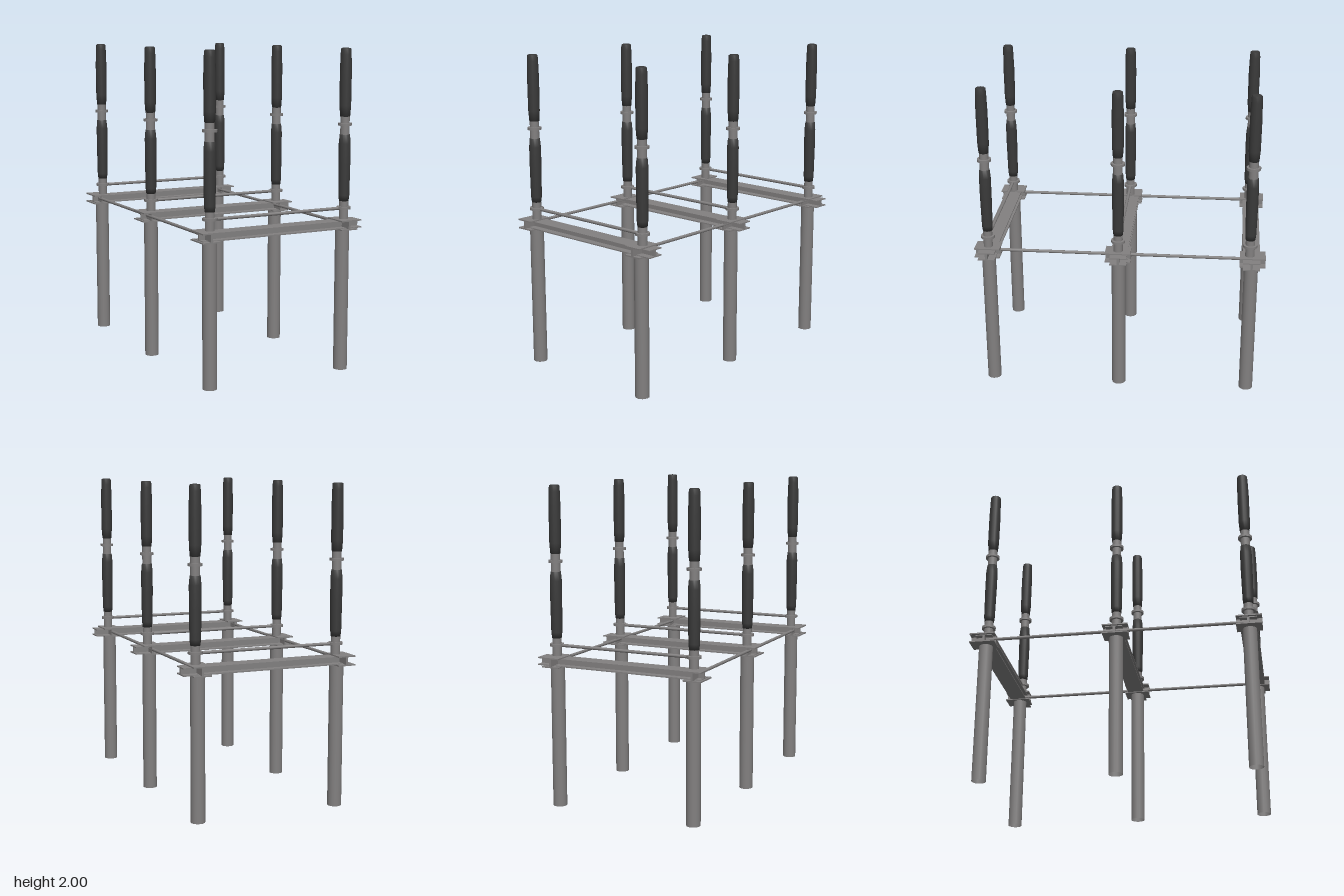
import * as THREE from 'three';

const steel = new THREE.MeshStandardMaterial({ color: 0x828080 });
steel.name = 'steel grey';
steel.side = THREE.DoubleSide;
const porcelain = new THREE.MeshStandardMaterial({ color: 0x3a3a3a });
porcelain.name = 'insulator dark grey';

function add(parent, name, geometry, material, x = 0, y = 0, z = 0) {
  const mesh = new THREE.Mesh(geometry, material);
  mesh.name = name;
  mesh.position.set(x, y, z);
  parent.add(mesh);
  return mesh;
}

// I-section extruded along z and centred on the origin
function iBeam(width, height, length, flange, web) {
  const w = width / 2, h = height / 2, t = web / 2, f = h - flange;
  const half = [[w, -h], [w, -f], [t, -f], [t, f], [w, f], [w, h]];
  const points = [...half, ...half.map(([x, y]) => [-x, -y])];
  const shape = new THREE.Shape(points.map(([x, y]) => new THREE.Vector2(x, y)));
  return new THREE.ExtrudeGeometry(shape, { depth: length, bevelEnabled: false })
    .translate(0, 0, -length / 2);
}

function lathe(profile, sides = 16) {
  return new THREE.LatheGeometry(profile.map(([r, y]) => new THREE.Vector2(r, y)), sides);
}

// Stacked insulator standing on a support
function createInsulator() {
  const group = new THREE.Group();
  group.name = 'insulator';
  const neck = (y0, y1) =>
    add(group, 'metalNeck', new THREE.CylinderGeometry(0.029, 0.029, y1 - y0, 16), steel, 0, (y0 + y1) / 2, 0);
  const collar = (y) =>
    add(group, 'collar', new THREE.CylinderGeometry(0.044, 0.044, 0.016, 16), steel, 0, y, 0);
  neck(0.95, 1.075);
  collar(1.022);
  neck(1.46, 1.6);
  collar(1.538);
  add(group, 'lowerInsulator', lathe([
    [0, 1.065], [0.03, 1.065], [0.034, 1.1], [0.037, 1.3], [0.037, 1.42], [0.032, 1.475], [0, 1.475],
  ]), porcelain);
  add(group, 'upperInsulator', lathe([
    [0, 1.585], [0.031, 1.585], [0.036, 1.65], [0.037, 1.85], [0.034, 1.96], [0.032, 1.995], [0.026, 2], [0, 2],
  ]), porcelain);
  return group;
}

export function createModel() {
  const model = new THREE.Group();
  model.name = 'insulatorFrame';

  const legGeometry = new THREE.CylinderGeometry(0.044, 0.044, 0.9, 16, 1, true);
  const crossGeometry = iBeam(0.115, 0.062, 0.16, 0.008, 0.014);
  const beamGeometry = iBeam(0.106, 0.05, 1.1, 0.007, 0.014).rotateY(Math.PI / 2);
  const barGeometry = new THREE.CylinderGeometry(0.01, 0.01, 0.9, 10).rotateZ(Math.PI / 2);

  const sides = [
    { leg: -0.474, cross: -0.5, insulator: -0.472 },
    { leg: 0.447, cross: 0.449, insulator: 0.457 },
  ];
  const rows = [
    { leg: 0.834, cross: 0.834, beam: 0.83, insulator: 0.832 },
    { leg: 0.005, cross: 0.007, beam: 0, insulator: 0.006 },
    { leg: -0.828, cross: -0.836, beam: -0.829, insulator: -0.817 },
  ];

  // Three portal rows, each with two legs, a beam and two insulators
  for (const row of rows) {
    const portal = new THREE.Group();
    portal.name = 'portalRow';
    model.add(portal);
    add(portal, 'mainBeam', beamGeometry, steel, 0.007, 0.922, row.beam);
    add(portal, 'upperBar', barGeometry, steel, -0.007, 1.02, row.insulator);
    for (const side of sides) {
      add(portal, 'leg', legGeometry, steel, side.leg, 0.45, row.leg);
      add(portal, 'crossBeam', crossGeometry, steel, side.cross, 0.923, row.cross);
      const insulator = createInsulator();
      insulator.position.set(side.insulator, 0, row.insulator);
      portal.add(insulator);
    }
  }

  // Tie rods joining the rows on both sides
  const rodGeometry = new THREE.CylinderGeometry(0.01, 0.01, 1.6, 10).rotateX(Math.PI / 2);
  for (const x of [-0.502, 0.447]) add(model, 'tieRod', rodGeometry, steel, x, 0.927, 0);

  return model;
}
